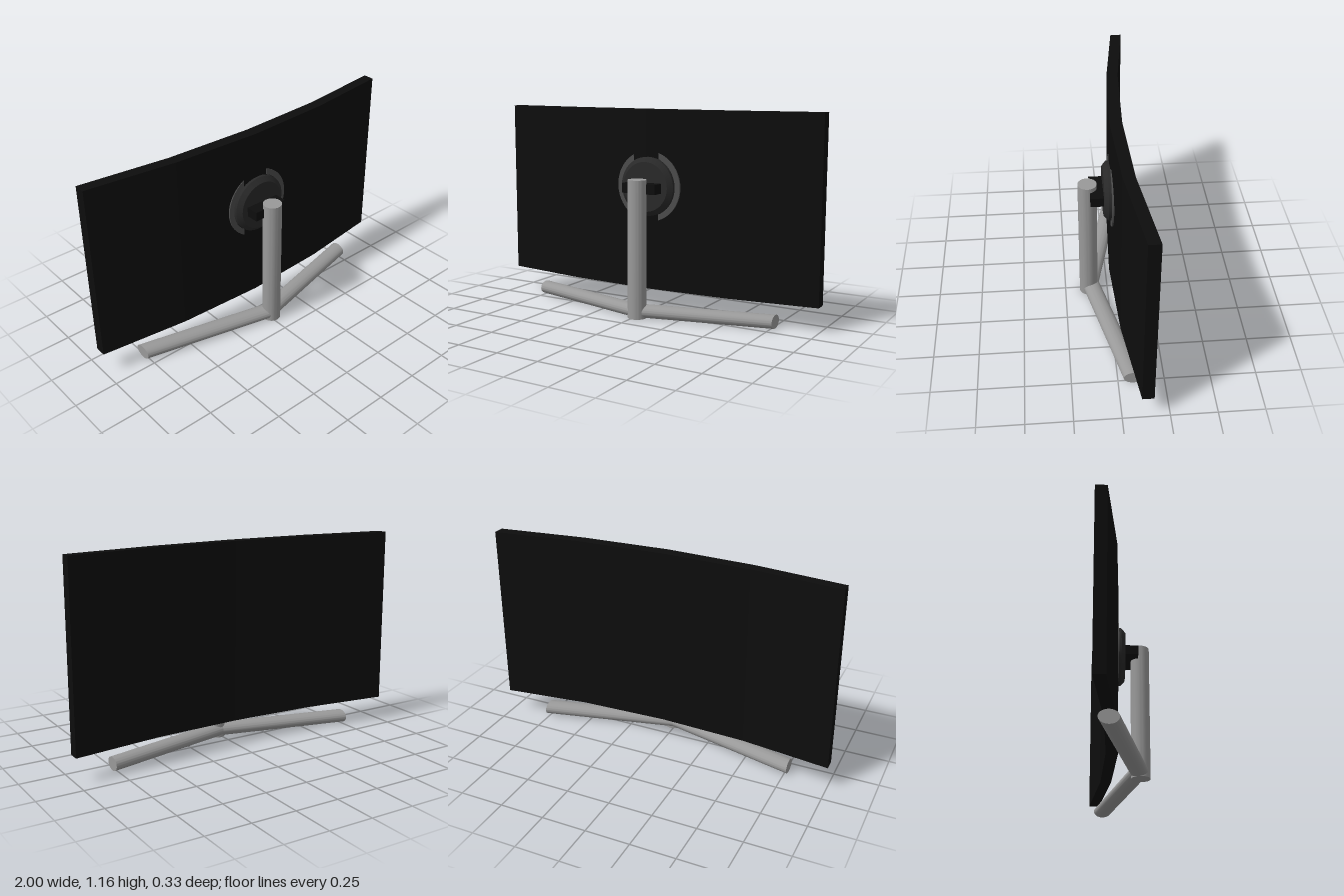
import * as THREE from 'three';
import { toCreasedNormals } from 'three/addons/utils/BufferGeometryUtils.js';

const material = (name, color) => {
  const m = new THREE.MeshStandardMaterial({ color });
  m.name = name;
  return m;
};

export function createModel() {
  const black = material('panel black', 0x0d0d0d);
  const charcoal = material('mount charcoal', 0x292929);
  const darkGrey = material('ring grey', 0x4c4c4c);
  const silver = material('stand silver', 0x999999);

  const group = new THREE.Group();
  const add = (name, geometry, mat) => {
    const mesh = new THREE.Mesh(toCreasedNormals(geometry, 0.5), mat);
    mesh.name = name;
    group.add(mesh);
    return mesh;
  };
  const cx = 0.016; // post and mount sit slightly off centre
  const mountY = 0.73;

  // Curved panel: four flat segments, extruded upward (shape y is -z)
  const front = [[-1, 0.1], [-0.5, 0.036], [0, 0.012], [0.5, 0.036], [1, 0.1]];
  const back = [[1, 0.163], [0.5, 0.1], [0, 0.08], [-0.5, 0.1], [-1, 0.163]];
  const outline = new THREE.Shape([...front, ...back].map(([x, y]) => new THREE.Vector2(x, y)));
  const panel = new THREE.ExtrudeGeometry(outline, { depth: 1.02, bevelEnabled: false });
  panel.rotateX(-Math.PI / 2).translate(0, 0.14, 0);
  const panelMesh = new THREE.Mesh(panel, black);
  panelMesh.name = 'curvedPanel';
  group.add(panelMesh);

  // Two ring arcs around the mount, with ends cut upright at x = +-0.08
  const outer = 0.2, inner = 0.168;
  for (const side of [1, -1]) {
    const dx = 0.08 - side * cx;
    const aOuter = Math.acos(dx / outer), aInner = Math.acos(dx / inner);
    const points = [];
    for (let i = 0; i <= 24; i++) {
      const a = aOuter * (i / 12 - 1);
      points.push(new THREE.Vector2(side * outer * Math.cos(a), outer * Math.sin(a)));
    }
    for (let i = 0; i <= 24; i++) {
      const a = aInner * (1 - i / 12);
      points.push(new THREE.Vector2(side * inner * Math.cos(a), inner * Math.sin(a)));
    }
    const arc = new THREE.ExtrudeGeometry(new THREE.Shape(points), { depth: 0.02, bevelEnabled: false });
    arc.translate(cx, mountY, -0.033);
    add(side > 0 ? 'leftRingArc' : 'rightRingArc', arc, darkGrey);
  }

  // Chamfered mounting disc
  const profile = [[0, -0.03], [0.166, -0.03], [0.166, 0.002], [0.14, 0.025], [0, 0.025]];
  const disc = new THREE.LatheGeometry(profile.map(([r, y]) => new THREE.Vector2(r, y)), 48);
  disc.rotateX(Math.PI / 2).translate(cx, mountY, 0);
  add('mountDisc', disc, charcoal);

  // Bracket joining the disc to the post
  add('bracket', new THREE.BoxGeometry(0.208, 0.055, 0.09).translate(cx, 0.727, 0.053), black);

  // Upright post
  add('post', new THREE.CylinderGeometry(0.053, 0.053, 0.78, 40).translate(cx, 0.39, 0.111), silver);

  // Legs: elliptical bars sheared backward so their ends stay square to x
  const legLength = 0.767;
  for (const side of [1, -1]) {
    const leg = new THREE.CylinderGeometry(0.0375, 0.0375, legLength, 40);
    leg.rotateZ(Math.PI / 2).scale(1, 1, 0.052 / 0.0375).translate(side * legLength / 2, 0.0375, 0.102);
    const p = leg.attributes.position;
    for (let i = 0; i < p.count; i++) p.setZ(i, p.getZ(i) - 0.24 * Math.abs(p.getX(i)));
    add(side > 0 ? 'leftLeg' : 'rightLeg', leg, silver);
  }

  return group;
}
